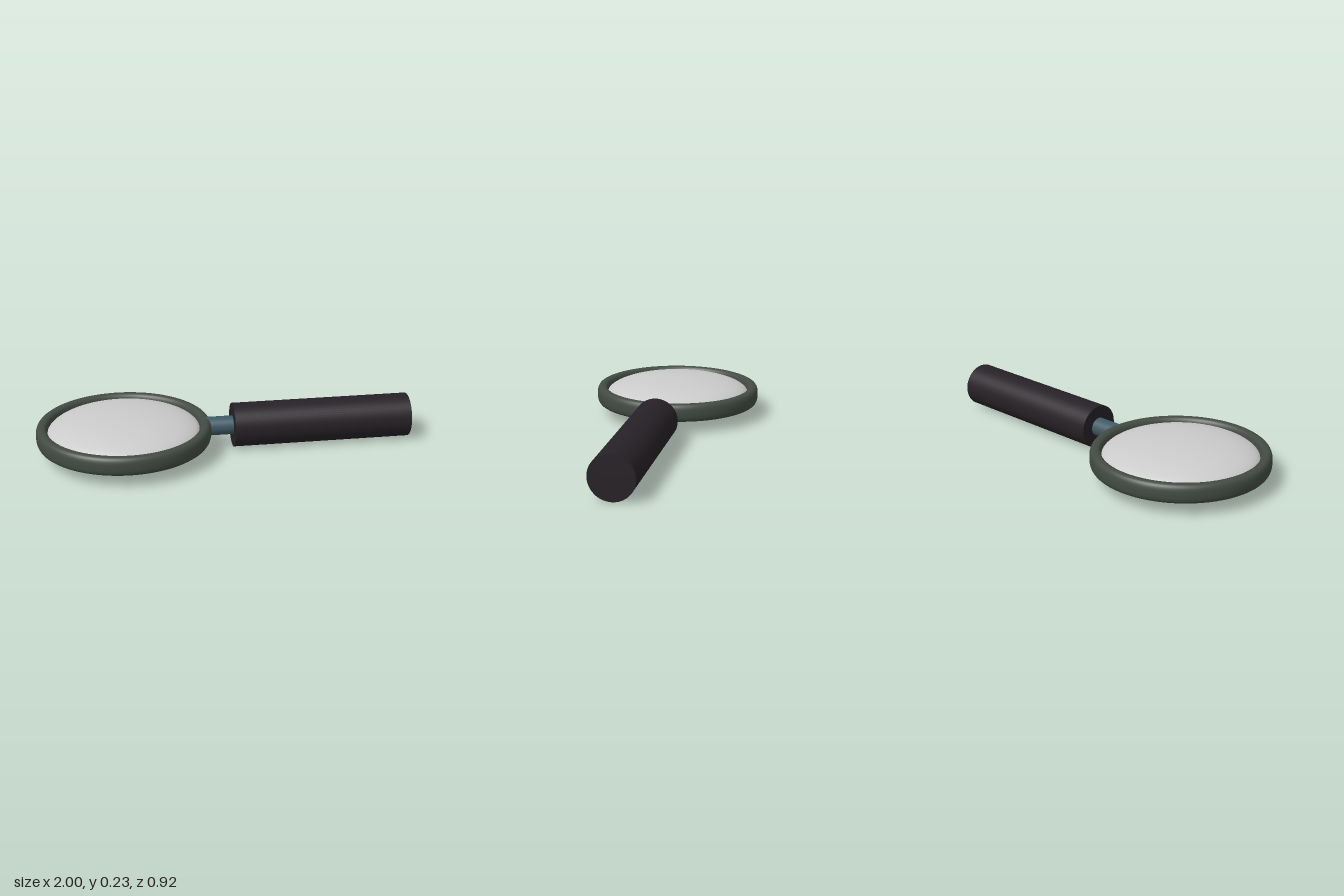
import * as THREE from 'three';

const AXIS_Y = 0.118;
const RING_X = -0.54;

function addPart(group, name, geometry, color, x, doubleSide = false) {
  const material = new THREE.MeshStandardMaterial({ color });
  if (doubleSide) material.side = THREE.DoubleSide;
  const mesh = new THREE.Mesh(geometry, material);
  mesh.name = name;
  mesh.position.set(x, AXIS_Y, 0);
  group.add(mesh);
  return mesh;
}

// Cylinder lying along x between two ends
function rod(group, name, radius, x0, x1, color) {
  const geometry = new THREE.CylinderGeometry(radius, radius, x1 - x0, 64);
  geometry.rotateZ(-Math.PI / 2);
  return addPart(group, name, geometry, color, (x0 + x1) / 2);
}

export function createModel() {
  const group = new THREE.Group();
  group.name = 'magnifyingGlass';

  // Frame: a softly squared oval section swept around the lens
  const section = [];
  const soften = (v) => Math.sign(v) * Math.pow(Math.abs(v), 0.75);
  for (let i = 0; i <= 32; i++) {
    const a = (i / 32) * Math.PI * 2;
    section.push(new THREE.Vector2(0.43 + 0.031 * soften(Math.cos(a)), 0.05 * soften(Math.sin(a))));
  }
  addPart(group, 'frame', new THREE.LatheGeometry(section, 96), 0x434b43, RING_X, true);

  // Lens: flattened ellipsoid bulging above and below the frame
  const lens = new THREE.SphereGeometry(1, 96, 48);
  lens.scale(0.405, 0.094, 0.405);
  addPart(group, 'lens', lens, 0xcccccc, RING_X);

  // Neck and handle
  rod(group, 'neck', 0.05, -0.12, 0.06, 0x3f5a66);
  rod(group, 'handle', 0.117, 0.04, 1, 0x262126);

  return group;
}
